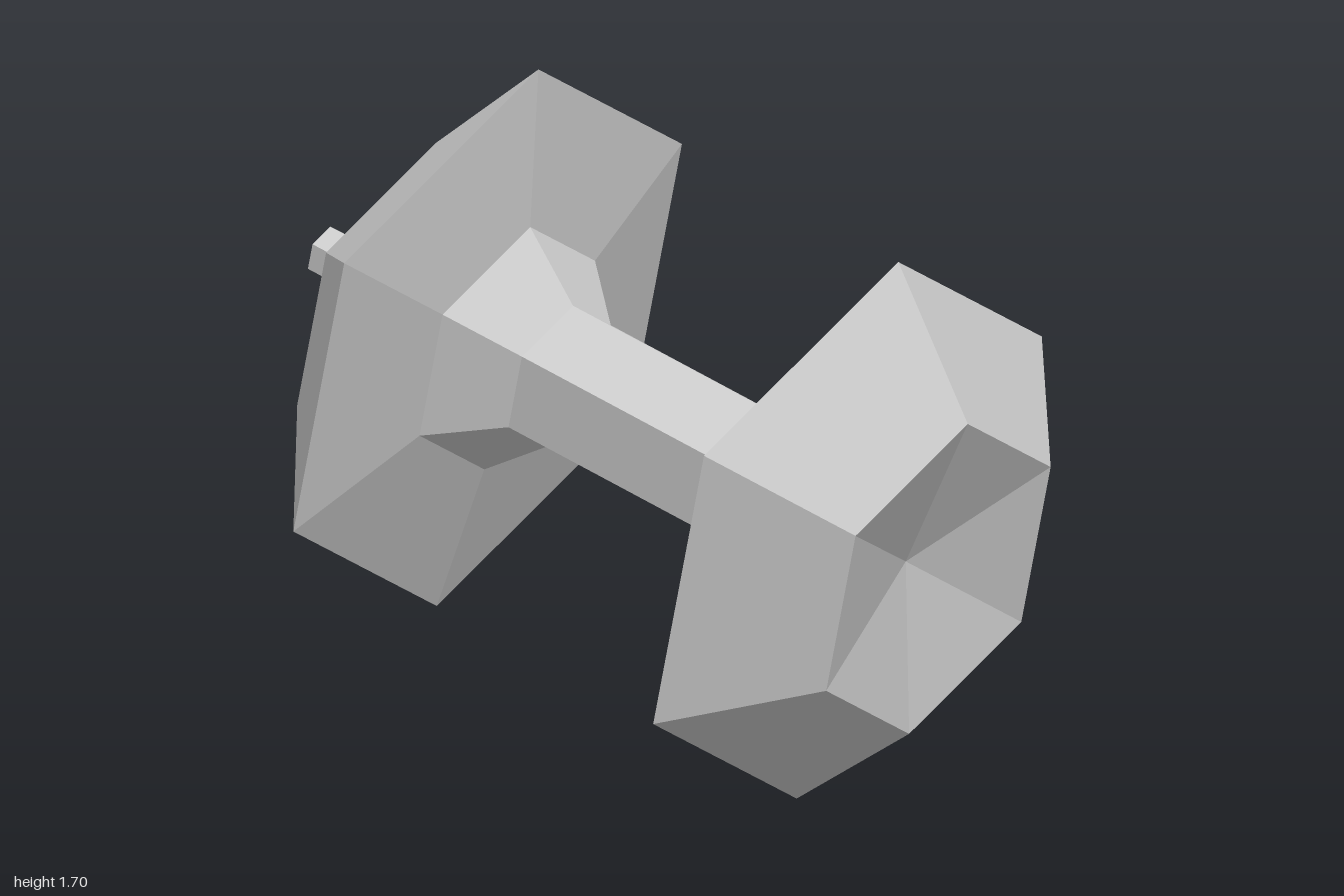
import * as THREE from 'three';

// Six-sided turned part from [radius, distance along the axis] pairs
function hexPart(name, profile) {
  const points = profile.map(([r, t]) => new THREE.Vector2(r, t));
  const material = new THREE.MeshStandardMaterial({ color: 0xcccccc, flatShading: true });
  const mesh = new THREE.Mesh(new THREE.LatheGeometry(points, 6), material);
  mesh.name = name;
  return mesh;
}

export function createModel() {
  const group = new THREE.Group();
  group.name = 'dumbbell';
  const bar = new THREE.Group();
  bar.name = 'tiltedAssembly';

  // Distances run from the rim of the right weight (-x) to the left one (+x)
  const span = 1.155, rim = 0.722, neck = 0.19;

  // Pin standing out of the flat end
  bar.add(hexPart('endPin', [[0, -0.52], [0.066, -0.52], [0.066, -0.25]]));

  // Weight with a flat outer face and a slightly bulging inner face
  bar.add(hexPart('rightWeight', [[0, -0.257], [0.41, -0.257], [rim, 0], [0.326, 0.063]]));

  // Grip flaring into a collar at both ends
  bar.add(hexPart('handle', [[0.326, 0.063], [neck, 0.231], [neck, span - 0.21], [0.432, span]]));

  // Weight with a flat inner face and a dished outer face
  bar.add(hexPart('leftWeight', [[0.432, span], [rim, span], [0.417, span + 0.292], [0, span + 0.187]]));

  // Tilt: local y follows the bar, local z points to an upper corner
  const axis = new THREE.Vector3(0.9527, -0.2755, 0.1279).normalize();
  const corner = new THREE.Vector3(0.19, 0.693, 0.077);
  corner.addScaledVector(axis, -corner.dot(axis)).normalize();
  const side = new THREE.Vector3().crossVectors(axis, corner);
  bar.quaternion.setFromRotationMatrix(new THREE.Matrix4().makeBasis(side, axis, corner));
  bar.position.set(-0.49, 1.015, -0.077);

  group.add(bar);
  return group;
}
